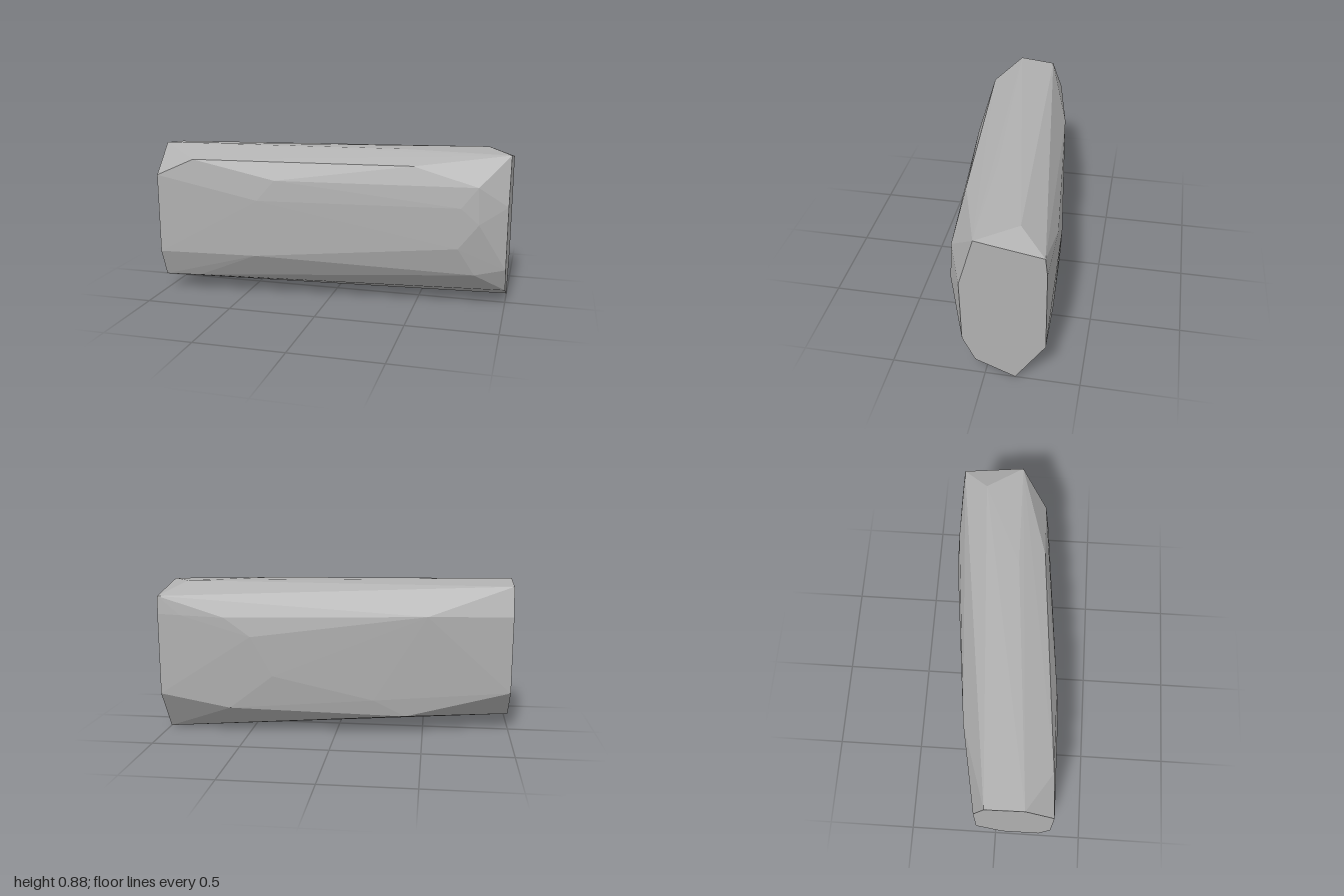
import * as THREE from 'three';
import { ConvexGeometry } from 'three/addons/geometries/ConvexGeometry.js';

// Corner lists use [x, y, z]; end faces are [y, z] outlines at a fixed x.
const atX = (x, outline) => outline.map(([y, z]) => [x, y, z]);

export function createModel() {
  const group = new THREE.Group();
  group.name = 'rock';

  // Flat cut ends
  const narrowEnd = atX(-1, [
    [0.855, -0.05], [0.878, 0.16], [0.71, 0.317], [0.25, 0.317],
    [0.09, 0.255], [0.083, 0.04], [0.248, -0.11], [0.69, -0.11],
  ]);
  const wideEnd = atX(1, [
    [0.865, 0.04], [0.59, 0.12], [0.23, 0.116], [0.09, 0.05],
    [0, -0.16], [0.24, -0.317], [0.705, -0.317], [0.805, -0.306],
  ]);

  // Chipped corners between the ends
  const top = [[0.38, 0.878, 0.05], [0.86, 0.878, -0.165]];
  const front = [
    [-0.78, 0.808, 0.3], [0.48, 0.808, 0.195],
    [-0.29, 0.708, 0.3], [0.84, 0.705, 0.19],
    [-0.39, 0.59, 0.317], [0.75, 0.59, 0.213],
    [0.85, 0.5, 0.2], [0.74, 0.36, 0.213],
    [-0.8, 0.264, 0.315], [-0.41, 0.262, 0.311],
    [0.83, 0.2, 0.16], [-0.78, 0.1, 0.25],
  ];
  const back = [
    [-0.52, 0.697, -0.2], [0.62, 0.69, -0.316], [0.87, 0.7, -0.318],
    [0.47, 0.583, -0.318], [0.35, 0.356, -0.3],
    [-0.22, 0.21, -0.22], [0.6, 0.163, -0.3], [-0.4, 0.11, -0.18],
  ];

  const corners = [...narrowEnd, ...wideEnd, ...top, ...front, ...back]
    .map((p) => new THREE.Vector3(...p));

  const stone = new THREE.MeshStandardMaterial({ color: 0xb0b0b0 });
  stone.name = 'grey stone';

  // Faceted block wrapped around all corners
  const block = new THREE.Mesh(new ConvexGeometry(corners), stone);
  block.name = 'stoneBlock';
  group.add(block);
  return group;
}
